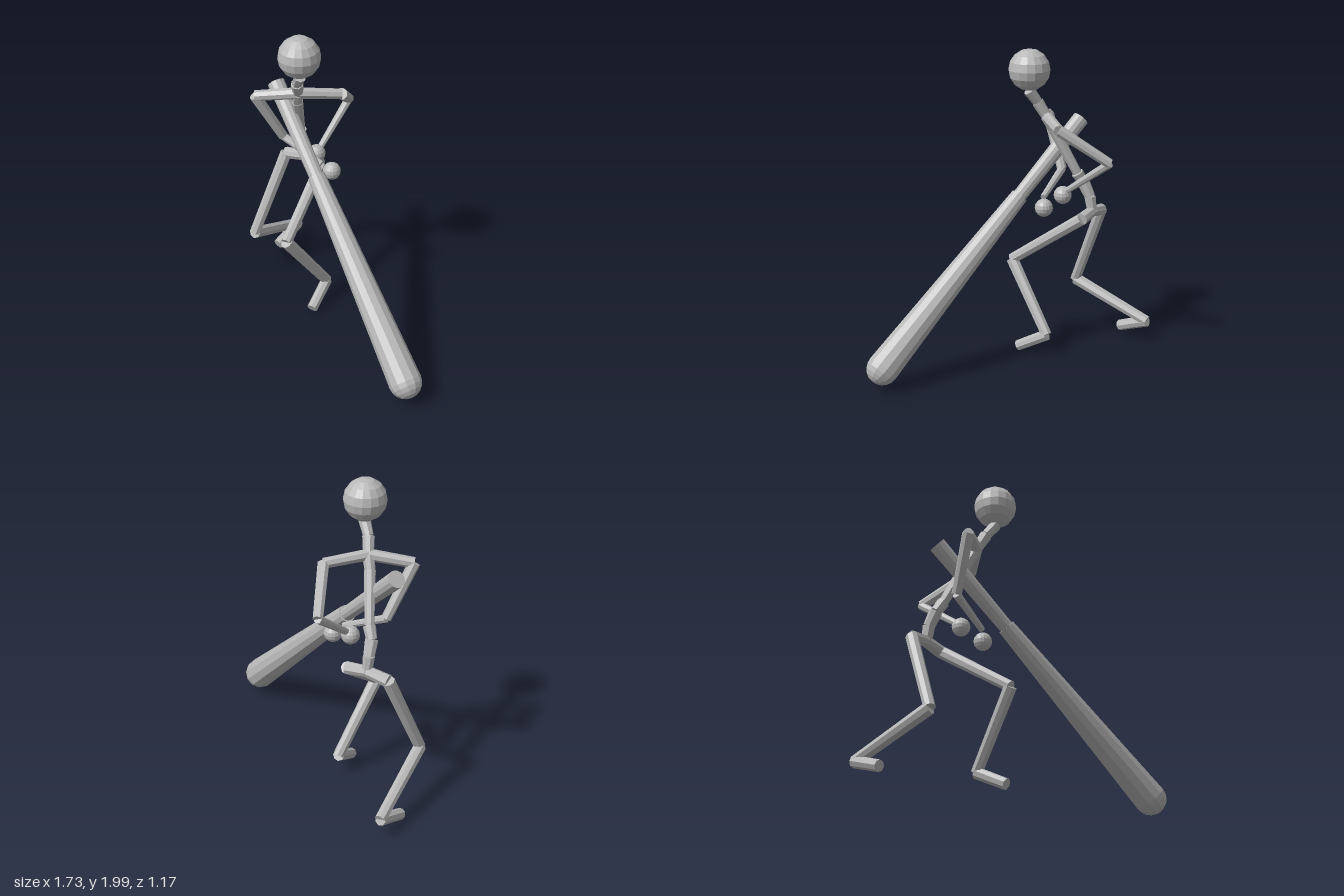
import * as THREE from 'three';

export function createModel() {
  const model = new THREE.Group();
  model.name = 'stickFigureWithBat';
  const gray = new THREE.MeshStandardMaterial({ color: 0xb8b8b8, flatShading: true });
  gray.name = 'plain gray';
  const UP = new THREE.Vector3(0, 1, 0);

  // Lays a y-aligned geometry at a point, turned along a direction
  function place(geometry, from, dir, name, parent) {
    const mesh = new THREE.Mesh(geometry, gray);
    mesh.position.copy(from);
    mesh.quaternion.setFromUnitVectors(UP, dir);
    mesh.name = name;
    parent.add(mesh);
  }

  // Tapered bone from a (radius ra) to b (radius rb)
  function bone(name, a, b, ra, rb, parent, sides = 8) {
    const A = new THREE.Vector3(...a), B = new THREE.Vector3(...b);
    const length = A.distanceTo(B);
    const geometry = new THREE.CylinderGeometry(rb, ra, length, sides);
    geometry.translate(0, length / 2, 0);
    place(geometry, A, B.clone().sub(A).normalize(), name, parent);
  }

  function ball(name, p, r, parent) {
    const mesh = new THREE.Mesh(new THREE.SphereGeometry(r, 16, 8), gray);
    mesh.position.set(...p);
    mesh.name = name;
    parent.add(mesh);
  }

  function group(name) {
    const g = new THREE.Group();
    g.name = name;
    model.add(g);
    return g;
  }

  // Head
  ball('head', [-0.308, 1.867, 0.055], 0.133, model);

  // Spine and neck, each vertebra flaring upwards
  const spine = group('spine');
  const chest = [-0.385, 1.56, -0.03];
  const pelvis = [-0.537, 0.935, -0.285];
  const joints = [
    pelvis, [-0.538, 1.03, -0.268], [-0.53, 1.12, -0.225], [-0.495, 1.19, -0.195],
    [-0.415, 1.48, -0.06], chest, [-0.355, 1.655, 0.02], [-0.305, 1.735, 0.055],
  ];
  const widths = [0.038, 0.042, 0.04, 0.036, 0.039, 0.039, 0.038];
  widths.forEach((r, i) => bone('vertebra' + (i + 1), joints[i], joints[i + 1], r * 0.85, r, spine));

  // Arms: collar bone, upper arm, forearm, hand
  const arms = {
    left: [[-0.19, 1.53, -0.22], [-0.33, 1.325, -0.505], [-0.342, 1.1, -0.19], [-0.35, 1.073, -0.167]],
    right: [[-0.63, 1.52, 0.09], [-0.535, 1.19, -0.063], [-0.25, 1.07, -0.08], [-0.195, 1.02, -0.115]],
  };
  for (const [side, [shoulder, elbow, wrist, hand]] of Object.entries(arms)) {
    const arm = group(side + 'Arm');
    bone('collarBone', chest, shoulder, 0.037, 0.034, arm);
    bone('upperArm', shoulder, elbow, 0.037, 0.032, arm);
    bone('forearm', elbow, wrist, 0.027, 0.02, arm);
    ball('hand', hand, 0.058, arm);
  }

  // Legs: hip, thigh, shin, foot
  const legs = {
    left: [[-0.395, 0.915, -0.28], [-0.335, 0.59, 0.195], [-0.243, 0.145, -0.115], [-0.22, 0.041, 0.085]],
    right: [[-0.68, 0.91, -0.28], [-0.785, 0.36, -0.045], [-0.81, 0.14, -0.57], [-0.833, 0.064, -0.36]],
  };
  for (const [side, [hip, knee, ankle, toe]] of Object.entries(legs)) {
    const leg = group(side + 'Leg');
    bone('hip', pelvis, hip, 0.036, 0.04, leg);
    bone('thigh', hip, knee, 0.04, 0.036, leg);
    bone('shin', knee, ankle, 0.041, 0.036, leg);
    bone('foot', ankle, toe, 0.038, 0.036, leg);
  }

  // Bat: slim handle, widening barrel, rounded tip
  const bat = group('bat');
  const end = [-0.64, 1.51, -0.14], neck = [-0.19, 1.073, 0.06], tip = [0.76, 0.15, 0.48];
  bone('handle', end, neck, 0.055, 0.046, bat, 12);
  bone('barrel', neck, tip, 0.056, 0.103, bat, 12);
  const axis = new THREE.Vector3(...tip).sub(new THREE.Vector3(...neck)).normalize();
  const cap = new THREE.SphereGeometry(0.103, 12, 5, 0, Math.PI * 2, 0, Math.PI / 2);
  place(cap, new THREE.Vector3(...tip), axis, 'batTip', bat);

  return model;
}
